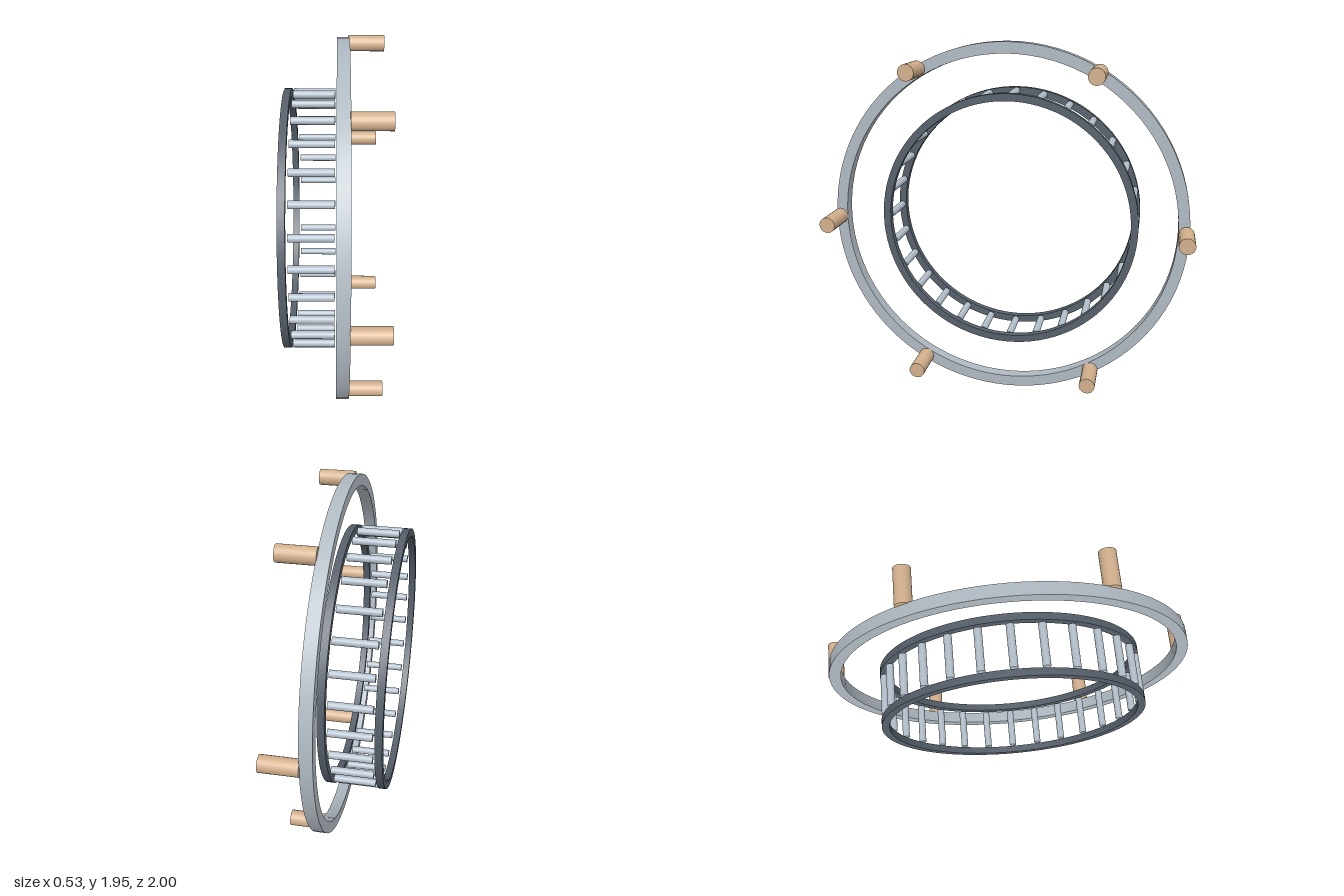
import * as THREE from 'three';
import { toCreasedNormals } from 'three/addons/utils/BufferGeometryUtils.js';

const material = (name, color) => {
  const m = new THREE.MeshStandardMaterial({ color });
  m.name = name;
  return m;
};

// Square-section ring around the x axis, from x0 to x1
function ring(name, inner, outer, x0, x1, mat) {
  const profile = [[outer, x0], [outer, x1], [inner, x1], [inner, x0], [outer, x0]]
    .map(([r, y]) => new THREE.Vector2(r, y));
  const geometry = toCreasedNormals(new THREE.LatheGeometry(profile, 96), 0.6);
  geometry.rotateZ(-Math.PI / 2);
  const mesh = new THREE.Mesh(geometry, mat);
  mesh.name = name;
  return mesh;
}

// Rods parallel to the x axis, evenly spaced on a circle
function rods(name, count, circle, radius, x0, x1, mat) {
  const group = new THREE.Group();
  group.name = name + 's';
  const geometry = new THREE.CylinderGeometry(radius, radius, x1 - x0, 24);
  geometry.rotateZ(-Math.PI / 2);
  for (let i = 0; i < count; i++) {
    const a = (i / count) * Math.PI * 2;
    const mesh = new THREE.Mesh(geometry, mat);
    mesh.name = name;
    mesh.position.set((x0 + x1) / 2, Math.sin(a) * circle, Math.cos(a) * circle);
    group.add(mesh);
  }
  return group;
}

export function createModel() {
  const silver = material('silver', 0xb0bac2);
  const steel = material('rollerSteel', 0xb4c0cc);
  const dark = material('darkSteel', 0x56606b);
  const tan = material('tan', 0xd2b08c);

  const model = new THREE.Group();
  model.name = 'rollerRingAssembly';

  // Large outer ring with six pegs
  model.add(ring('outerRing', 0.915, 0.975, 0.01, 0.075, silver));
  model.add(rods('peg', 6, 0.957, 0.043, 0.072, 0.267, tan));

  // Roller cage between two dark rings
  model.add(ring('backCageRing', 0.669, 0.709, -0.267, -0.229, dark));
  model.add(ring('frontCageRing', 0.669, 0.709, 0.013, 0.051, dark));
  model.add(rods('roller', 28, 0.689, 0.02, -0.218, 0.002, steel));

  model.position.y = 0.975;
  const root = new THREE.Group();
  root.add(model);
  return root;
}
